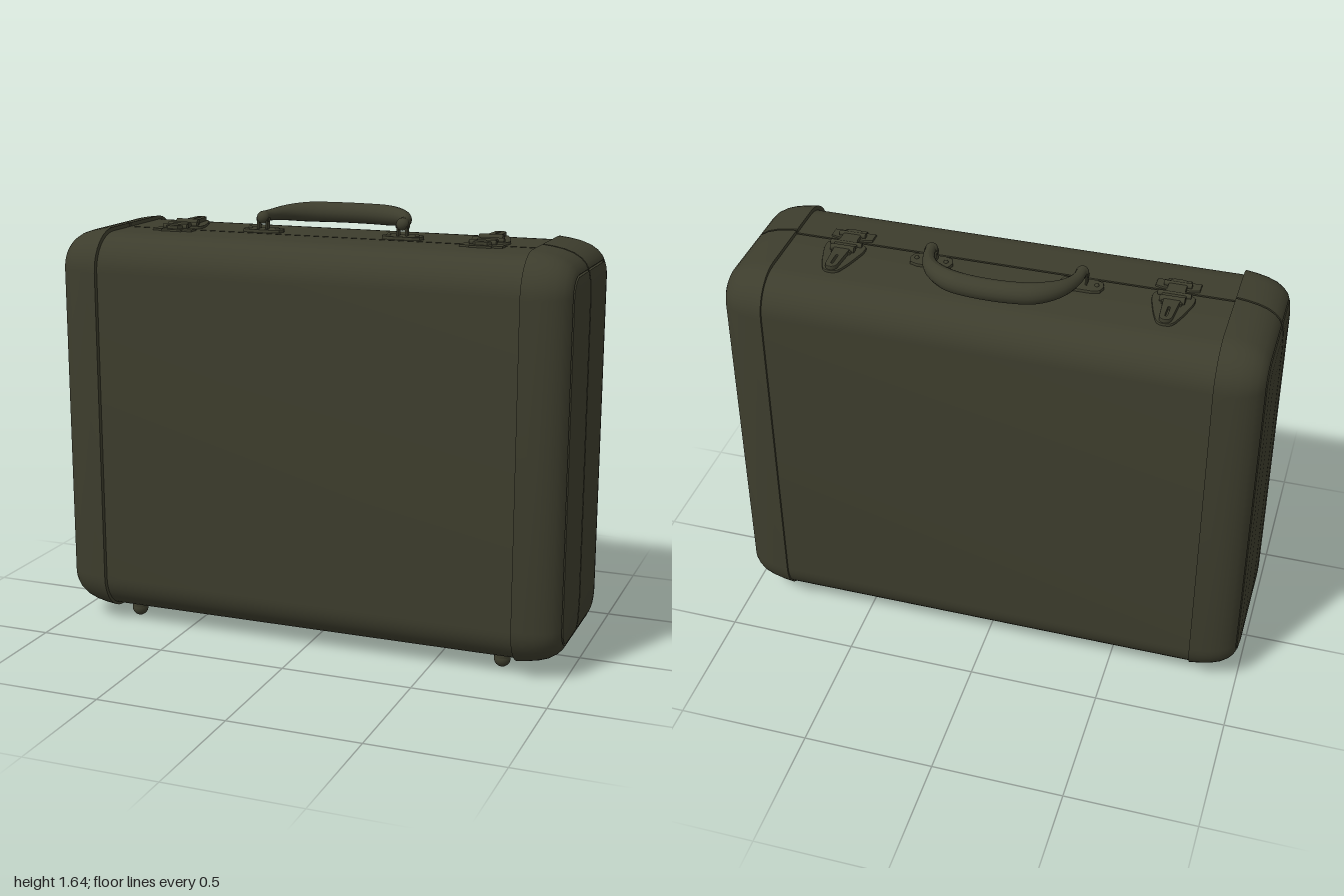
import * as THREE from 'three';
import { toCreasedNormals } from 'three/addons/utils/BufferGeometryUtils.js';

const olive = new THREE.MeshStandardMaterial({ color: 0x3d3d2d, side: THREE.DoubleSide });
olive.name = 'dark olive';

const SPLIT = 0.043, GAP = 0.004, TOP = 1.54;

function add(parent, name, geometry, x = 0, y = 0, z = 0) {
  const mesh = new THREE.Mesh(geometry, olive);
  mesh.name = name;
  mesh.position.set(x, y, z);
  parent.add(mesh);
  return mesh;
}

// Half of a rounded rectangle in the yz plane, cut flat at the split; s = +1 front, -1 back
function halfOutline(s, box, d) {
  const r = Math.max(box.r - d, 0.035), z = box.z - d, lo = box.lo + d, hi = box.hi - d;
  const cut = SPLIT + s * GAP, pts = [[hi, cut]];
  for (const [cy, start] of [[hi - r, 0], [lo + r, Math.PI / 2]]) {
    for (let i = 0; i <= 10; i++) {
      const a = start + (i / 10) * Math.PI / 2;
      pts.push([cy + r * Math.cos(a), s * (z - r + r * Math.sin(a))]);
    }
  }
  pts.push([lo, cut]);
  return s > 0 ? pts : pts.reverse();
}

// Closed loft along x; each section is [x, inset], in ascending x
function loft(s, box, sections) {
  const pos = [], idx = [];
  const loops = sections.map(([x, d]) => halfOutline(s, box, d).map(([y, z]) => [x, y, z]));
  const n = loops[0].length, last = (loops.length - 1) * n;
  loops.flat().forEach((p) => pos.push(...p));
  for (let i = 0; i < loops.length - 1; i++) {
    for (let j = 0; j < n; j++) {
      const a = i * n + j, b = i * n + (j + 1) % n;
      idx.push(a, b, b + n, a, b + n, a + n);
    }
  }
  for (let j = 1; j < n - 1; j++) {
    idx.push(last, last + j, last + j + 1, 0, j + 1, j);
  }
  const g = new THREE.BufferGeometry();
  g.setAttribute('position', new THREE.Float32BufferAttribute(pos, 3));
  g.setIndex(idx);
  return toCreasedNormals(g, 0.5);
}

// Flat plate from an outline in x and z, mirrored across x = 0, with its base at y = 0
function plate(half, height, smooth = false) {
  const pts = [...half, ...[...half].reverse().map(([x, z]) => [-x, z])]
    .map(([x, z]) => new THREE.Vector2(x, -z));
  const outline = smooth ? new THREE.CatmullRomCurve3(
    pts.map((p) => new THREE.Vector3(p.x, p.y, 0)), true).getPoints(40)
    .slice(0, -1).map((p) => new THREE.Vector2(p.x, p.y)) : pts;
  const g = new THREE.ExtrudeGeometry(new THREE.Shape(outline), {
    depth: height * 0.6, bevelEnabled: true, bevelThickness: height * 0.4,
    bevelSize: 0.004, bevelOffset: -0.004, bevelSegments: 2,
  });
  return g.rotateX(-Math.PI / 2);
}

const rod = (r, length) => new THREE.CylinderGeometry(r, r, length, 16).rotateZ(Math.PI / 2);

function makeLatch() {
  const g = new THREE.Group();
  // Base plates on both halves
  add(g, 'latchBackPlate', plate([[0.022, -0.172], [0.045, -0.13], [0.064, -0.07],
    [0.076, -0.02], [0.072, 0.012], [0.04, 0.022]], 0.012, true));
  add(g, 'latchFrontPlate', plate([[0.042, 0.115], [0.042, 0.105], [0.08, 0.105], [0.08, 0.06],
    [0.05, 0.052]], 0.01));
  // Hasp bridging the split
  add(g, 'latchHasp', plate([[0.036, -0.06], [0.045, 0.0], [0.034, 0.03], [0.034, 0.085],
    [0.022, 0.1]], 0.012), 0, 0.01);
  // Lever with a finger slot
  const lever = new THREE.Shape();
  lever.absarc(0, 0.15, 0.02, 0, Math.PI);
  lever.lineTo(-0.028, 0.04);
  lever.lineTo(0.028, 0.04);
  const slot = new THREE.Path();
  slot.absarc(0, 0.145, 0.007, 0, Math.PI);
  slot.absarc(0, 0.095, 0.007, Math.PI, Math.PI * 2);
  lever.holes.push(slot);
  const leverGeo = new THREE.ExtrudeGeometry(lever, { depth: 0.012, bevelEnabled: true,
    bevelThickness: 0.003, bevelSize: 0.003, bevelSegments: 2 }).rotateX(-Math.PI / 2);
  add(g, 'latchLever', leverGeo, 0, 0.012, 0);
  // Pivots
  add(g, 'latchRearPivot', rod(0.013, 0.09), 0, 0.02, -0.035);
  add(g, 'latchMiddlePivot', rod(0.01, 0.12), 0, 0.016, 0.005);
  add(g, 'latchFrontPivot', rod(0.01, 0.1), 0, 0.016, 0.072);
  return g;
}

// Carrying handle: a tube lying back on the case, thick in the middle
function handleGeometry() {
  const pts = [[-0.28, 1.6, -0.005], [-0.272, 1.598, -0.06], [-0.235, 1.6, -0.135],
    [-0.16, 1.6, -0.19], [-0.07, 1.6, -0.21]];
  const mirrored = [...pts].reverse().map(([x, y, z]) => [-x, y, z]);
  const curve = new THREE.CatmullRomCurve3([...pts, ...mirrored].map((p) => new THREE.Vector3(...p)));
  const segs = 64, sides = 16;
  const g = new THREE.TubeGeometry(curve, segs, 1, sides);
  const p = g.attributes.position, v = new THREE.Vector3();
  for (let i = 0; i <= segs; i++) {
    const t = i / segs, c = curve.getPointAt(t);
    const swell = THREE.MathUtils.smoothstep(Math.min(t, 1 - t), 0.0, 0.33);
    const r = 0.019 + 0.02 * swell;
    for (let j = 0; j <= sides; j++) {
      const k = i * (sides + 1) + j;
      v.fromBufferAttribute(p, k).sub(c).multiplyScalar(r).add(c);
      p.setXYZ(k, v.x, v.y, v.z);
    }
  }
  g.computeVertexNormals();
  return g;
}

export function createModel() {
  const model = new THREE.Group();
  model.name = 'suitcase';

  // Two shells with rounded end caps and framed end panels
  const capProfile = [[0.82, 0], [0.86, 0.005], [0.9, 0.013], [0.935, 0.025], [0.962, 0.042],
    [0.979, 0.06], [0.988, 0.079], [0.983, 0.08], [0.983, 0.084], [0.991, 0.086],
    [0.997, 0.12], [1, 0.2]];
  for (const s of [1, -1]) {
    const side = s > 0 ? 'front' : 'back';
    const shell = { r: 0.14, z: s > 0 ? 0.322 : 0.332, lo: 0.05, hi: TOP };
    const cap = { r: 0.155, z: 0.341, lo: 0.042, hi: 1.555 };
    add(model, side + 'Shell', loft(s, shell, [[-0.85, 0], [0.85, 0]]));
    add(model, side + 'LeftEndCap', loft(s, cap, capProfile));
    add(model, side + 'RightEndCap', loft(s, cap, capProfile.map(([x, d]) => [-x, d]).reverse()));
  }

  // Handle
  const handle = new THREE.Group();
  handle.name = 'handle';
  model.add(handle);
  add(handle, 'grip', handleGeometry());

  for (const m of [1, -1]) {
    // Handle mounts: plate, two lugs, pin and rounded grip end
    const mount = new THREE.Group();
    mount.name = 'handleMount';
    mount.position.set(m * 0.279, TOP - 0.002, -0.012);
    model.add(mount);
    add(mount, 'mountPlate', plate([[0.045, -0.038], [0.073, -0.028], [0.082, 0],
      [0.073, 0.028], [0.045, 0.038]], 0.014));
    for (const x of [-0.017, 0.017]) {
      add(mount, 'mountLug', new THREE.BoxGeometry(0.007, 0.055, 0.026), x, 0.032, 0.004);
    }
    add(mount, 'mountPin', rod(0.009, 0.05), 0, 0.05, 0.004);
    add(mount, 'gripEnd', new THREE.SphereGeometry(0.024, 16, 12), 0, 0.056, 0.006);
    for (const x of [-0.055, 0.055]) {
      add(mount, 'rivet', new THREE.SphereGeometry(0.009, 12, 8), x, 0.013, 0);
    }

    // Latch
    const latch = makeLatch();
    latch.name = 'latch';
    latch.position.set(m * 0.61, TOP - 0.002, 0);
    model.add(latch);

    // Hinge under the case
    add(model, 'hingeFrontLeaf', new THREE.BoxGeometry(0.12, 0.008, 0.05), m * 0.62, 0.048, 0.072);
    add(model, 'hingeBackLeaf', new THREE.BoxGeometry(0.12, 0.008, 0.05), m * 0.62, 0.048, 0.014);
    add(model, 'hingeBarrel', rod(0.008, 0.12), m * 0.62, 0.048, SPLIT);

    // Ball feet
    for (const z of [0.182, -0.135]) {
      add(model, 'foot', new THREE.SphereGeometry(0.031, 20, 14), m * 0.75, 0.031, z);
      add(model, 'footStem', new THREE.CylinderGeometry(0.03, 0.03, 0.03, 20), m * 0.75, 0.046, z);
    }
  }
  return model;
}
